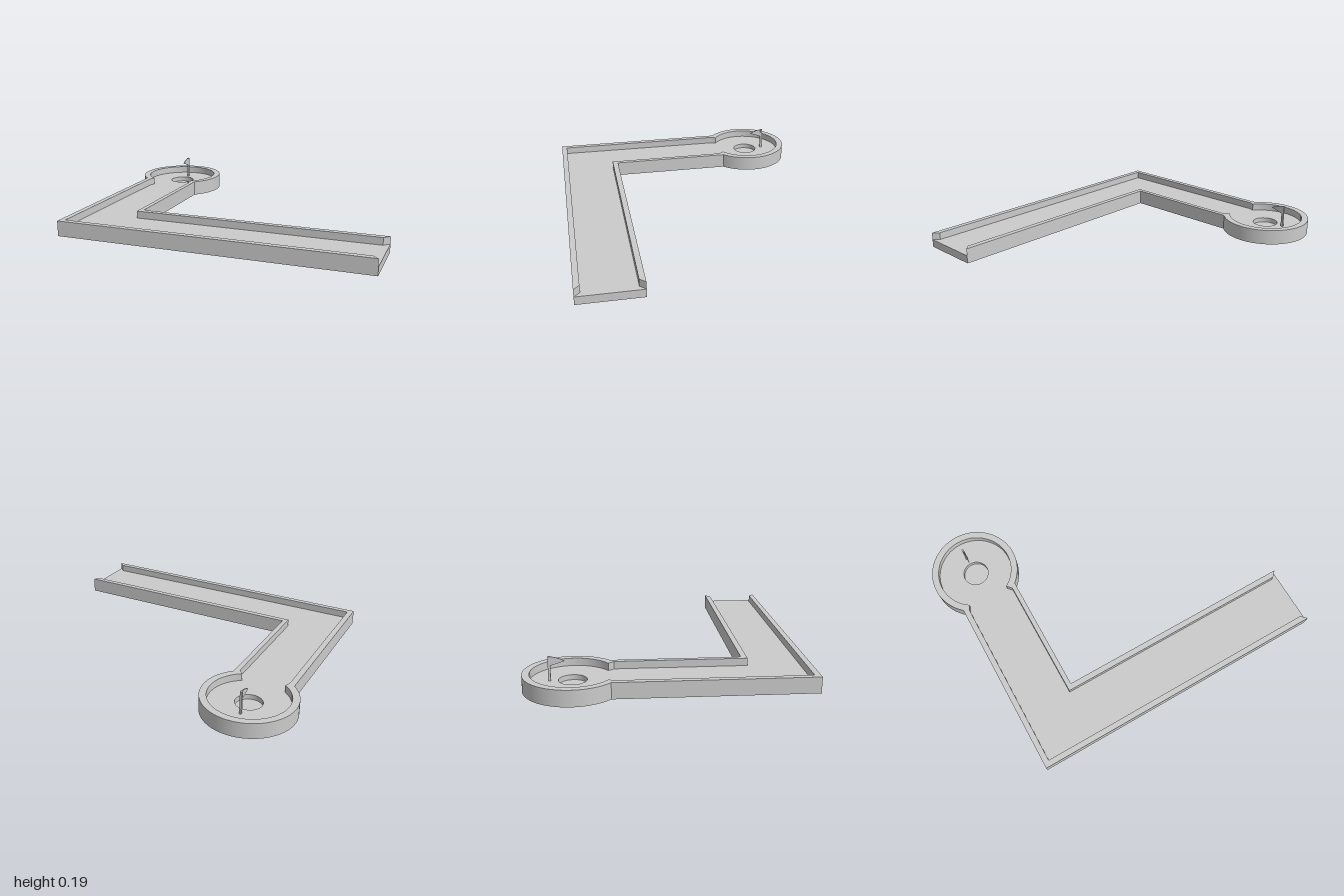
import * as THREE from 'three';
import { toCreasedNormals } from 'three/addons/utils/BufferGeometryUtils.js';

const CX = -0.72, CZ = -0.54; // centre of the round green
const FLOOR = 0.05, TOP = 0.095, CUP = 0.02;

export function createModel() {
  const group = new THREE.Group();
  const material = new THREE.MeshStandardMaterial({ color: 0xcccccc });

  const add = (name, geometry) => {
    const mesh = new THREE.Mesh(geometry, material);
    mesh.name = name;
    group.add(mesh);
    return mesh;
  };

  // Plan shapes are drawn as (x, z) and extruded between two heights
  const slab = (name, shape, y0, y1) => {
    const geo = new THREE.ExtrudeGeometry(shape, { depth: y1 - y0, bevelEnabled: false, curveSegments: 32 });
    geo.rotateX(Math.PI / 2).translate(0, y1, 0);
    return add(name, toCreasedNormals(geo, 0.5));
  };

  // Outer edge: lane end, inner corner, round green, outer corner
  const outline = () => {
    const s = new THREE.Shape();
    s.moveTo(1, 0.435);
    s.lineTo(-0.53, 0.435);
    s.absarc(CX, CZ, 0.28, Math.atan2(0.206, 0.19), Math.atan2(0.21, -0.185) - 2 * Math.PI, true);
    s.lineTo(-0.905, 0.815);
    s.lineTo(1, 0.815);
    return s;
  };

  // Floor with the cup sunk into it
  slab('base', outline(), 0, CUP);
  const floor = outline();
  floor.holes.push(new THREE.Path().absarc(CX, CZ, 0.08, 0, 2 * Math.PI, false));
  slab('floor', floor, CUP, FLOOR);

  // Border wall, open at the lane end with mitred tips
  const wall = outline();
  wall.lineTo(0.965, 0.78);
  wall.lineTo(-0.87, 0.78);
  wall.lineTo(-0.87, -0.31);
  wall.absarc(CX, CZ, 0.238, Math.atan2(0.195, -0.135), Math.atan2(0.195, 0.13) + 2 * Math.PI, false);
  wall.lineTo(-0.56, -0.31);
  wall.lineTo(-0.56, 0.47);
  wall.lineTo(0.965, 0.47);
  slab('borderWall', wall, FLOOR, TOP);

  // Flag pole behind the cup
  const pole = add('flagPole', new THREE.BoxGeometry(0.012, 0.14, 0.014));
  pole.position.set(-0.727, FLOOR + 0.07, -0.667);

  // Pennant pointing towards the front, drawn as (z, y)
  const pennant = new THREE.Shape();
  pennant.moveTo(0, 0.137);
  pennant.lineTo(0, 0.19);
  pennant.quadraticCurveTo(-0.045, 0.185, -0.08, 0.163);
  pennant.closePath();
  const flagGeo = new THREE.ExtrudeGeometry(pennant, { depth: 0.006, bevelEnabled: false, curveSegments: 8 });
  flagGeo.rotateY(Math.PI / 2);
  add('flag', flagGeo).position.set(-0.73, 0, -0.662);

  return group;
}
